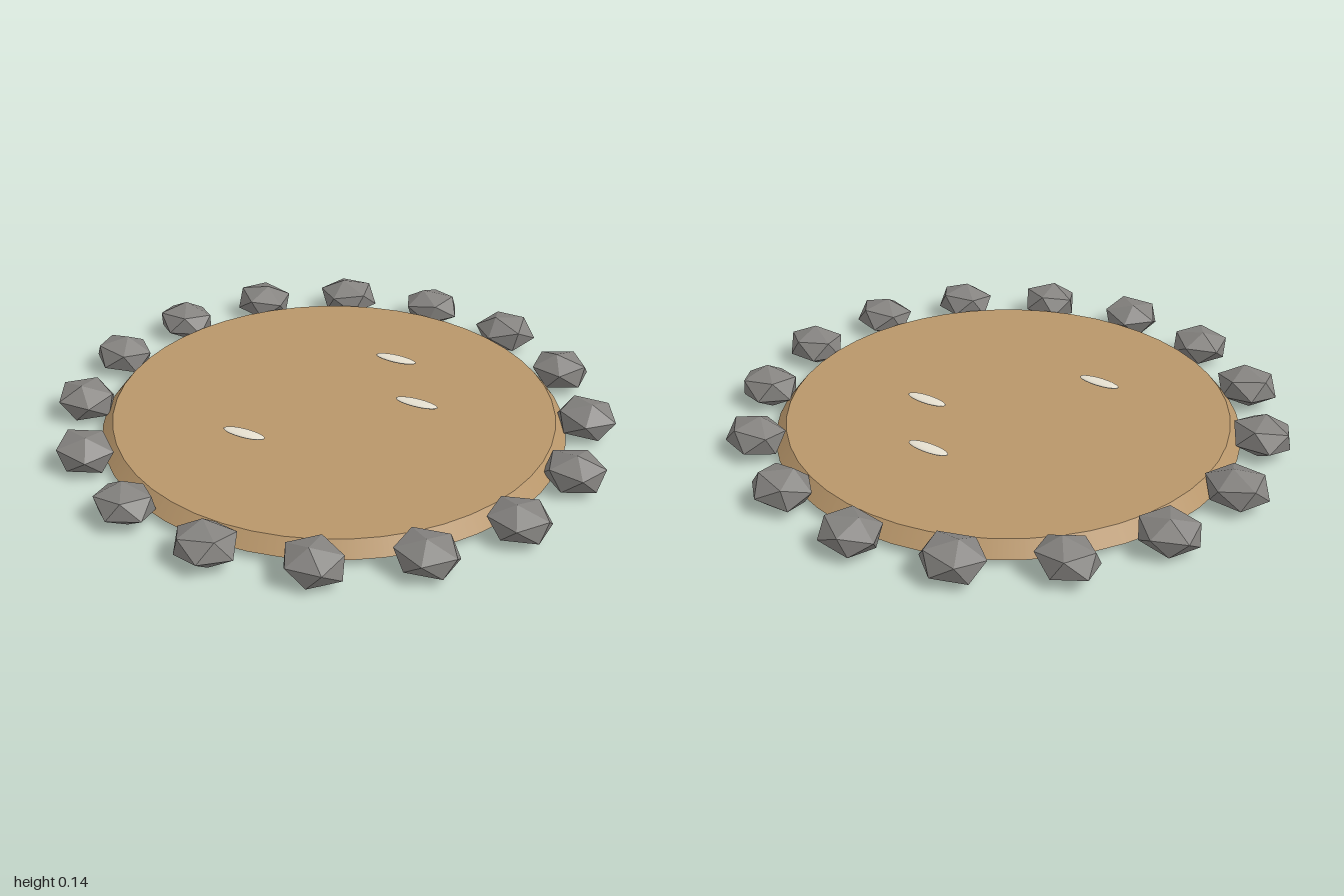
import * as THREE from 'three';

// Small seeded generator for natural variation
function seeded(seed) {
  return () => {
    seed = (seed * 16807) % 2147483647;
    return seed / 2147483647;
  };
}

// Squat faceted stone: icosahedron, pole up, slightly tilted, then flattened
function stoneGeometry(rand) {
  const g = new THREE.IcosahedronGeometry(1, 0);
  g.rotateZ(-0.5536);
  g.rotateY(rand() * Math.PI * 2);
  g.rotateX((rand() - 0.5) * 0.7);
  g.rotateZ((rand() - 0.5) * 0.7);
  g.scale(0.113 + rand() * 0.006, 0.067 + rand() * 0.007, 0.097 + rand() * 0.008);
  g.computeVertexNormals();
  return g;
}

export function createModel() {
  const sand = new THREE.MeshStandardMaterial({ color: 0xb8966a });
  sand.name = 'sand';
  const stone = new THREE.MeshStandardMaterial({ color: 0x858380, flatShading: true });
  stone.name = 'stone grey';
  const pale = new THREE.MeshStandardMaterial({ color: 0xe6e0d0 });
  pale.name = 'pale shell';

  const model = new THREE.Group();
  model.name = 'stoneRingedSandBed';
  const add = (name, geometry, material, x, y, z) => {
    const mesh = new THREE.Mesh(geometry, material);
    mesh.name = name;
    mesh.position.set(x, y, z);
    model.add(mesh);
    return mesh;
  };

  // Shallow sand disc with sloping rim
  add('sandBed', new THREE.CylinderGeometry(0.775, 0.815, 0.05, 48), sand, 0, 0.06, -0.005);

  // Ring of border stones
  const rand = seeded(4217);
  const count = 16;
  for (let i = 0; i < count; i++) {
    const a = (i / count) * Math.PI * 2;
    add(`borderStone${i + 1}`, stoneGeometry(rand), stone,
      Math.cos(a) * 0.884, 0.08, Math.sin(a) * 0.878 - 0.003);
  }

  // Flat slivers lying over the sand
  const sliver = new THREE.SphereGeometry(1, 20, 12);
  sliver.scale(0.08, 0.008, 0.025);
  [[0.065, -0.39], [0.26, -0.135], [-0.185, 0.31]].forEach(([x, z], i) =>
    add(`paleSliver${i + 1}`, sliver, pale, x, 0.101, z));

  return model;
}
